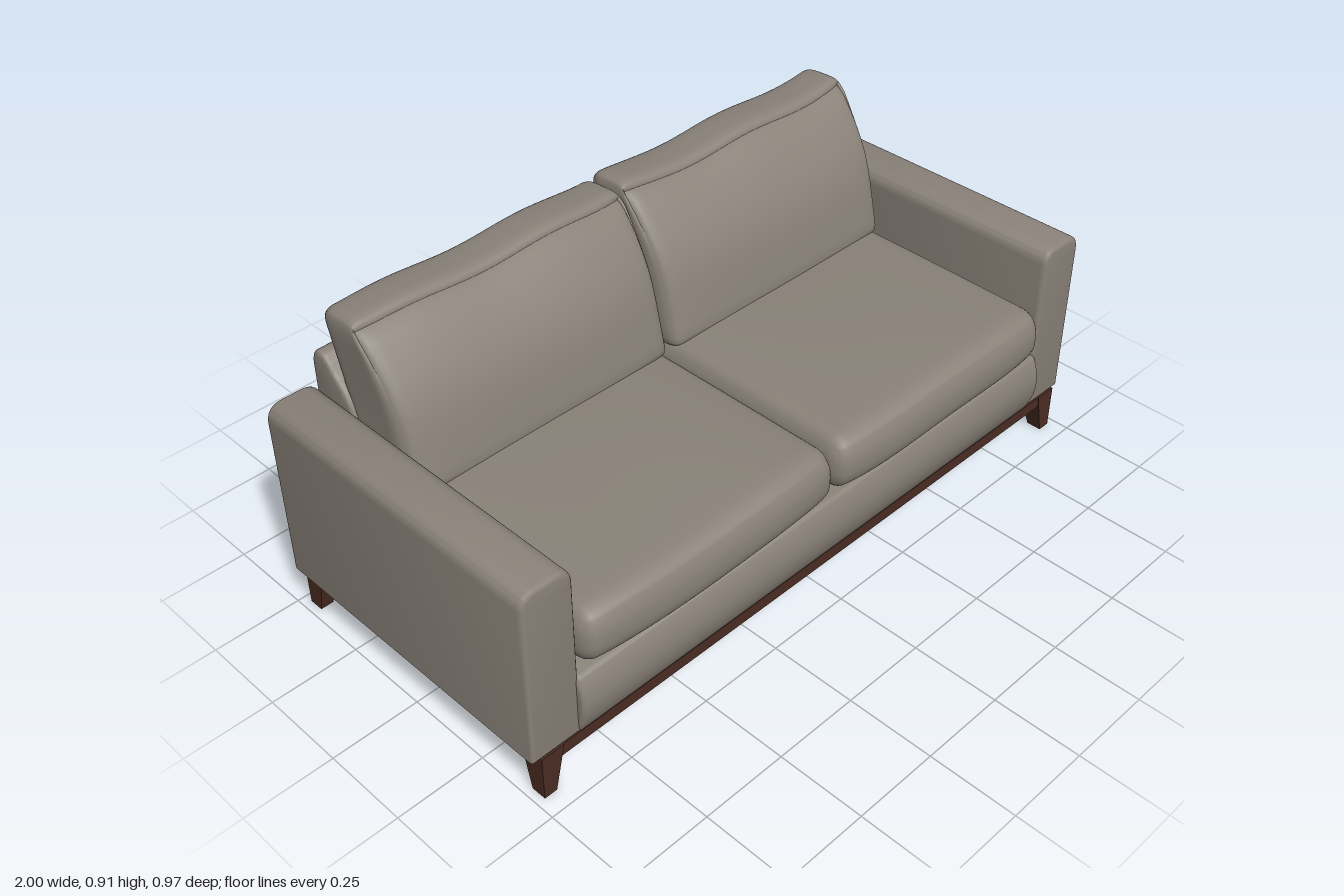
import * as THREE from 'three';
import { mergeVertices, toCreasedNormals } from 'three/addons/utils/BufferGeometryUtils.js';

const fabric = new THREE.MeshStandardMaterial({ color: 0x8a8279 });
fabric.name = 'taupe fabric';
const wood = new THREE.MeshStandardMaterial({ color: 0x4a2c22 });
wood.name = 'dark wood';

function addMesh(parent, name, geometry, material) {
  const mesh = new THREE.Mesh(geometry, material);
  mesh.name = name;
  parent.add(mesh);
  return mesh;
}

// Soft box: half sizes h, elliptical corner radii r, then a shaping rule
// rule(point, u, v, w), where u, v, w run from -1 to 1 over the cushion
function softBox(h, r, rule) {
  let g = new THREE.BoxGeometry(2, 2, 2, 32, 16, 24);
  g.deleteAttribute('uv');
  g.deleteAttribute('normal');
  g = mergeVertices(g);
  const pos = g.attributes.position;
  const p = new THREE.Vector3();
  for (let i = 0; i < pos.count; i++) {
    const n = [pos.getX(i), pos.getY(i), pos.getZ(i)].map((t) => Math.sin(t * Math.PI / 2));
    const inner = n.map((t, k) => THREE.MathUtils.clamp(t * h[k], r[k] - h[k], h[k] - r[k]));
    const d = n.map((t, k) => (t * h[k] - inner[k]) / r[k]);
    const len = Math.hypot(...d);
    p.set(...inner.map((c, k) => c + d[k] / len * r[k]));
    rule(p, ...n);
    pos.setXYZ(i, p.x, p.y, p.z);
  }
  g.computeVertexNormals();
  return g;
}

// Bevelled extrusion, centred on its length
function extrude(shape, length, bevel) {
  const g = new THREE.ExtrudeGeometry(shape, {
    depth: length - 2 * bevel, bevelEnabled: true, bevelSize: bevel, bevelThickness: bevel,
    bevelOffset: -bevel, bevelSegments: 3, curveSegments: 10,
  });
  return g.translate(0, 0, bevel - length / 2);
}

// Side profile given as a shape in (-z, y), swept across the width
const sweepAcross = (shape, length) =>
  toCreasedNormals(extrude(shape, length, 0.012).rotateY(Math.PI / 2), 0.6);

// Leg tapering to the floor; sx, sz pick the sides that stay vertical (0 = both taper)
function legGeometry(w, d, sx, sz, taperX, taperZ) {
  const g = new THREE.BoxGeometry(w, 0.132, d).translate(0, 0.066, 0);
  const pos = g.attributes.position;
  for (let i = 0; i < pos.count; i++) {
    if (pos.getY(i) > 0.01) continue;
    const ax = sx * w / 2, az = sz * d / 2;
    pos.setX(i, ax + (pos.getX(i) - ax) * taperX);
    pos.setZ(i, az + (pos.getZ(i) - az) * taperZ);
  }
  g.computeVertexNormals();
  return g;
}

export function createModel() {
  const sofa = new THREE.Group();
  sofa.name = 'sofa';

  // Wooden plinth
  addMesh(sofa, 'plinth', new THREE.BoxGeometry(1.95, 0.035, 0.92), wood).position.set(0, 0.1145, -0.015);

  // Corner legs, straight on the outside
  for (const sx of [-1, 1]) {
    for (const sz of [-1, 1]) {
      const leg = addMesh(sofa, 'cornerLeg', legGeometry(0.068, 0.072, sx, sz, 0.55, 0.6), wood);
      leg.position.set(sx * 0.942, 0, sz > 0 ? 0.411 : -0.438);
    }
  }
  // Centre legs
  for (const z of [0.23, -0.315]) {
    addMesh(sofa, 'centreLeg', legGeometry(0.054, 0.056, 0, 0, 0.68, 0.7), wood).position.z = z;
  }

  // Arms with rounded tops
  const arm = new THREE.Shape();
  arm.moveTo(-0.074, 0.13);
  arm.lineTo(0.074, 0.13);
  arm.lineTo(0.075, 0.6);
  arm.quadraticCurveTo(0.075, 0.648, 0.03, 0.65);
  arm.lineTo(-0.03, 0.65);
  arm.quadraticCurveTo(-0.075, 0.648, -0.075, 0.6);
  arm.closePath();
  const armGeometry = toCreasedNormals(extrude(arm, 0.932, 0.012), 0.6);
  for (const side of [-1, 1]) {
    addMesh(sofa, side > 0 ? 'leftArm' : 'rightArm', armGeometry, fabric)
      .position.set(side * 0.925, 0, -0.021);
  }

  // Seat base with a bulging front rail
  const base = new THREE.Shape();
  base.moveTo(0.4, 0.13);
  base.lineTo(-0.442, 0.13);
  base.bezierCurveTo(-0.475, 0.19, -0.475, 0.25, -0.452, 0.3);
  base.quadraticCurveTo(-0.447, 0.312, -0.43, 0.312);
  base.lineTo(0.4, 0.312);
  base.closePath();
  addMesh(sofa, 'seatBase', sweepAcross(base, 1.72), fabric);

  // Backrest: upright behind, rounded on top, sloping in front
  const back = new THREE.Shape();
  back.moveTo(0.28, 0.13);
  back.lineTo(0.48, 0.13);
  back.lineTo(0.482, 0.7);
  back.bezierCurveTo(0.482, 0.735, 0.47, 0.755, 0.447, 0.755);
  back.bezierCurveTo(0.425, 0.755, 0.41, 0.732, 0.395, 0.712);
  back.quadraticCurveTo(0.355, 0.675, 0.34, 0.64);
  back.lineTo(0.29, 0.45);
  back.closePath();
  addMesh(sofa, 'backrest', sweepAcross(back, 1.71), fabric);

  // Cushions, one pair on each side
  for (const side of [-1, 1]) {
    const label = side > 0 ? 'left' : 'right';

    const seat = softBox([0.421, 0.078, 0.41], [0.04, 0.07, 0.055], (p, u, v, w) => {
      const full = 1 - u ** 4;
      if (w > 0) p.z += 0.022 * w * full;
      if (v > 0) p.y += 0.022 * v * full * (1 - 0.4 * w * w);
      p.y += 0.003 * Math.sin(4 * u + side) * w;
    });
    addMesh(sofa, label + 'SeatCushion', seat, fabric).position.set(side * 0.424, 0.4, 0.055);

    const backCushion = softBox([0.418, 0.212, 0.115], [0.03, 0.035, 0.05], (p, u, v, w) => {
      const t = THREE.MathUtils.clamp((p.y + 0.03) / 0.24, 0, 1);
      const full = 1 - u ** 4;
      // plump front, rolling backwards towards the top
      if (w > 0) p.z += w * (0.022 * full * (1 - v * v * 0.5) - 0.085 * t * t);
      // soft top seam with slight corner ears
      if (v > 0) {
        p.y += v * (0.012 * (1 - w * w) + 0.005 * Math.sin(6 * u + side) + 0.004 * u ** 8 - 0.003);
        p.x += 0.006 * v * u;
      }
      // lean
      p.z -= 0.23 * (p.y + 0.21);
    });
    addMesh(sofa, label + 'BackCushion', backCushion, fabric).position.set(side * 0.425, 0.68, -0.228);
  }

  return sofa;
}
